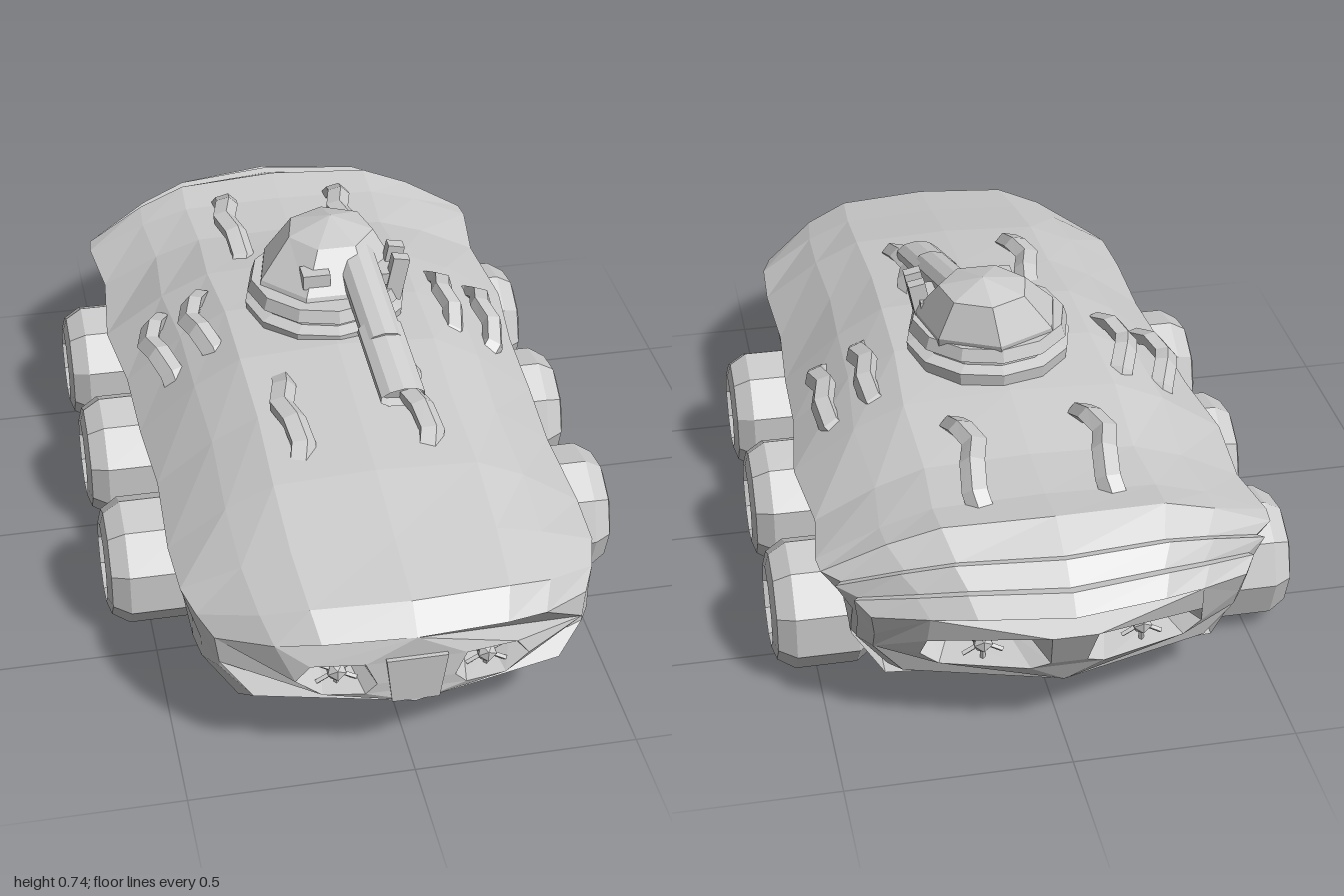
import * as THREE from 'three';

const mat = new THREE.MeshStandardMaterial({ color: 0xcccccc, flatShading: true, side: THREE.DoubleSide });
const V = (x, y, z) => new THREE.Vector3(x, y, z);
const mix = THREE.MathUtils.lerp;

function add(parent, name, geometry, x = 0, y = 0, z = 0) {
  const mesh = new THREE.Mesh(geometry, mat);
  mesh.name = name;
  mesh.position.set(x, y, z);
  parent.add(mesh);
  return mesh;
}

// Skin a list of closed loops that have equal point counts; optionally fan-cap the last one.
function loft(loops, capEnd = false) {
  const pos = [], idx = [], n = loops[0].length;
  loops.forEach(l => l.forEach(p => pos.push(p.x, p.y, p.z)));
  for (let i = 0; i < loops.length - 1; i++) {
    for (let j = 0; j < n; j++) {
      const a = i * n + j, b = i * n + (j + 1) % n;
      idx.push(a, b, b + n, a, b + n, a + n);
    }
  }
  if (capEnd) {
    const last = loops[loops.length - 1], o = (loops.length - 1) * n;
    const c = last.reduce((s, p) => s.add(p), V(0, 0, 0)).divideScalar(n);
    pos.push(c.x, c.y, c.z);
    for (let j = 0; j < n; j++) idx.push(o + j, o + (j + 1) % n, loops.length * n);
  }
  const g = new THREE.BufferGeometry();
  g.setAttribute('position', new THREE.Float32BufferAttribute(pos, 3));
  g.setIndex(idx);
  g.computeVertexNormals();
  return g;
}

// Hull stations, back to front: z, sweep, waist half width, belly, waist and deck heights
const stations = [
  [-1.0, 0.85, 0.41, 0.15, 0.34, 0.385],
  [-0.965, 0.8, 0.44, 0.13, 0.355, 0.425],
  [-0.94, 0.75, 0.43, 0.13, 0.355, 0.42],
  [-0.895, 0.55, 0.475, 0.11, 0.37, 0.46],
  [-0.875, 0.55, 0.46, 0.11, 0.37, 0.455],
  [-0.79, 0.25, 0.5, 0.11, 0.38, 0.50],
  [-0.68, 0, 0.505, 0.12, 0.38, 0.485],
  [-0.52, 0, 0.485, 0.145, 0.37, 0.485],
  [-0.30, 0, 0.505, 0.10, 0.36, 0.52],
  [-0.09, 0, 0.48, 0.14, 0.36, 0.54],
  [0.12, 0, 0.475, 0.10, 0.35, 0.54],
  [0.33, 0, 0.462, 0.14, 0.35, 0.515],
  [0.56, 0, 0.47, 0.10, 0.34, 0.49],
  [0.76, -0.25, 0.463, 0.125, 0.34, 0.45],
  [0.935, -0.8, 0.44, 0.15, 0.33, 0.42],
  [0.99, -0.95, 0.41, 0.19, 0.31, 0.365],
];

// Lengthwise position on a swept station; the tail also undercuts below the waist
function sweptZ([z, bend], x, y) {
  const sweep = bend > 0 ? x * x : Math.abs(x ** 3) * 2.2;
  return z + bend * sweep + (z < -0.85 ? Math.max(0, 0.33 - y) * 0.55 : 0);
}

function section(s) {
  const [, , w, lo, mid, hi] = s;
  const wall = Math.min(w - 0.008, 0.44);
  const half = [
    [wall * 0.84, lo], [wall, mix(lo, mid, 0.4)], [wall, mid - 0.06],
    [w, mid], [w * 0.72, mix(mid, hi, 0.6)], [w * 0.49, mix(mid, hi, 0.93)],
  ];
  const loop = [[0, lo], ...half, [0, hi], ...half.slice().reverse().map(([x, y]) => [-x, y])];
  return loop.map(([x, y]) => V(x, y, sweptZ(s, x, y)));
}

// End plate with two openings, each leading into a tapered pocket with a lamp
function endFace(parent, name, s, hole, depth) {
  const shape = new THREE.Shape(section(s).map(p => new THREE.Vector2(p.x, p.y)));
  const dir = Math.sign(s[0]);
  for (const side of [1, -1]) {
    const pts = hole.map(([x, y]) => new THREE.Vector2(x * side, y));
    shape.holes.push(new THREE.Path(pts));
    const c = pts.reduce((a, p) => a.add(p), new THREE.Vector2()).divideScalar(pts.length);
    const outer = pts.map(p => V(p.x, p.y, sweptZ(s, p.x, p.y)));
    const cz = sweptZ(s, c.x, c.y) - dir * depth;
    const inner = pts.map(p => V(mix(c.x, p.x, 0.7), mix(c.y, p.y, 0.7), cz));
    add(parent, name + 'Pocket', loft([outer, inner], true));
    const lamp = new THREE.Group();
    lamp.name = name + 'Lamp';
    lamp.position.set(c.x, c.y, cz + dir * depth * 0.55);
    add(lamp, 'bulb', new THREE.IcosahedronGeometry(0.024, 0));
    for (let i = 0; i < 3; i++) {
      add(lamp, 'lampSpoke', new THREE.CylinderGeometry(0.006, 0.006, 0.1, 4)).rotation.z = i * Math.PI / 3;
    }
    add(lamp, 'lampStem', new THREE.CylinderGeometry(0.01, 0.014, depth * 0.6, 5), 0, 0, -dir * depth * 0.3)
      .rotation.x = Math.PI / 2;
    parent.add(lamp);
  }
  const g = new THREE.ShapeGeometry(shape), p = g.attributes.position;
  for (let i = 0; i < p.count; i++) p.setZ(i, sweptZ(s, p.getX(i), p.getY(i)));
  add(parent, name + 'Plate', g);
}

// Arched grab rail running along z, leaning outwards by an angle
function rail(parent, x, y, z, length, height, lean) {
  const h = length / 2;
  const path = new THREE.CatmullRomCurve3([
    V(0, -0.03, -h), V(0.012, height * 0.75, -h * 0.6), V(-0.008, height, 0), V(0.012, height * 0.75, h * 0.6), V(0, -0.03, h)]);
  const m = add(parent, 'grabRail', new THREE.TubeGeometry(path, 6, 0.022, 5), x, y, z);
  m.scale.x = 1.4;
  m.rotation.z = -lean;
}

// Hollow faceted tyre with an open spoked hub, outer side towards +x
function wheel(parent, side, z) {
  const g = new THREE.Group();
  g.name = 'wheel';
  const profile = [[0.085, -0.10], [0.115, -0.12], [0.15, -0.07], [0.15, 0.07], [0.125, 0.11], [0.095, 0.12], [0.075, 0.06], [0.085, -0.10]]
    .map(([r, y]) => new THREE.Vector2(r, y));
  add(g, 'tyre', new THREE.LatheGeometry(profile, 9)).rotation.z = -Math.PI / 2;
  add(g, 'hub', new THREE.CylinderGeometry(0.025, 0.03, 0.1, 6)).rotation.z = -Math.PI / 2;
  add(g, 'axle', new THREE.CylinderGeometry(0.018, 0.018, 0.2, 6), -0.1, 0, 0).rotation.z = Math.PI / 2;
  for (let i = 0; i < 5; i++) {
    const a = i * Math.PI * 0.4;
    add(g, 'spoke', new THREE.BoxGeometry(0.03, 0.07, 0.022), 0, 0.05 * Math.cos(a), 0.05 * Math.sin(a)).rotation.x = a;
  }
  g.position.set(side * 0.48, 0.147, z);
  g.rotation.y = side > 0 ? 0 : Math.PI;
  parent.add(g);
}

function turret() {
  const g = new THREE.Group();
  g.name = 'turret';
  g.position.set(0.01, 0, -0.09);
  const collar = [[0.19, 0.51], [0.195, 0.55], [0.165, 0.56], [0.165, 0.575], [0.19, 0.58], [0.18, 0.61], [0.13, 0.61]];
  add(g, 'turretRing', new THREE.LatheGeometry(collar.map(p => new THREE.Vector2(...p)), 12));
  // Faceted cap with a flattened front; its crown sits back and slightly to one side
  const dome = new THREE.LatheGeometry(
    [[0.175, 0.58], [0.17, 0.62], [0.105, 0.705], [0, 0.735]].map(p => new THREE.Vector2(...p)), 7, Math.PI / 7);
  const p = dome.attributes.position;
  for (let i = 0; i < p.count; i++) {
    const rise = p.getY(i) - 0.58;
    p.setX(i, p.getX(i) + rise * 0.15);
    p.setZ(i, Math.min(p.getZ(i), 0.14) - rise * 0.35);
  }
  add(g, 'turretCap', dome);
  add(g, 'visionBlock', new THREE.BoxGeometry(0.065, 0.035, 0.05), -0.04, 0.652, 0.085);
  // Gun, pitched down, with a flatter hollow muzzle sleeve
  const gun = new THREE.Group();
  gun.name = 'gun';
  gun.position.set(0.065, 0.672, 0);
  gun.rotation.set(0.285, 0.06, 0);
  for (const [name, r, a, b, flat] of [
    ['barrel', 0.048, -0.02, 0.31, 0.75], ['muzzleSleeve', 0.054, 0.26, 0.475, 0.55], ['bore', 0.053, 0.44, 0.45, 0.55]]) {
    const m = add(gun, name, new THREE.CylinderGeometry(r, r, b - a, 10, 1, name === 'muzzleSleeve'), 0, 0, (a + b) / 2);
    m.rotation.x = Math.PI / 2;
    m.scale.z = flat;
  }
  g.add(gun);
  // Side brackets beside the gun
  for (const z of [0.03, 0.09]) {
    add(g, 'sideBracket', new THREE.BoxGeometry(0.04, 0.11, 0.03), 0.155, 0.635, z).rotation.z = -0.2;
  }
  add(g, 'sideBracketLink', new THREE.BoxGeometry(0.05, 0.03, 0.1), 0.135, 0.635, 0.05);
  return g;
}

export function createModel() {
  const model = new THREE.Group();
  model.name = 'armouredCar';

  add(model, 'hull', loft(stations.map(section)));
  endFace(model, 'front', stations[stations.length - 1],
    [[0.085, 0.25], [0.11, 0.225], [0.2, 0.225], [0.255, 0.255], [0.225, 0.3], [0.11, 0.305]], 0.09);
  endFace(model, 'rear', stations[0],
    [[0.04, 0.23], [0.08, 0.21], [0.27, 0.21], [0.31, 0.24], [0.3, 0.3], [0.05, 0.335]], 0.13);
  add(model, 'noseBlock', new THREE.CylinderGeometry(0.09, 0.07, 0.12, 4, 1).rotateY(Math.PI / 4).scale(1.05, 1, 0.6), 0, 0.255, 0.96);

  for (const side of [1, -1]) {
    for (const z of [0.335, -0.088, -0.51]) wheel(model, side, z);
    const x = side > 0 ? 0.135 : -0.16;
    rail(model, x, 0.475, -0.525, 0.38, 0.055, 0);
    rail(model, x, 0.49, 0.32, 0.36, 0.035, 0);
    rail(model, side * 0.285, 0.47, -0.1, 0.31, 0.05, side * 0.6);
    rail(model, side * 0.385, 0.415, -0.1, 0.31, 0.05, side * 0.6);
  }
  model.add(turret());
  return model;
}
